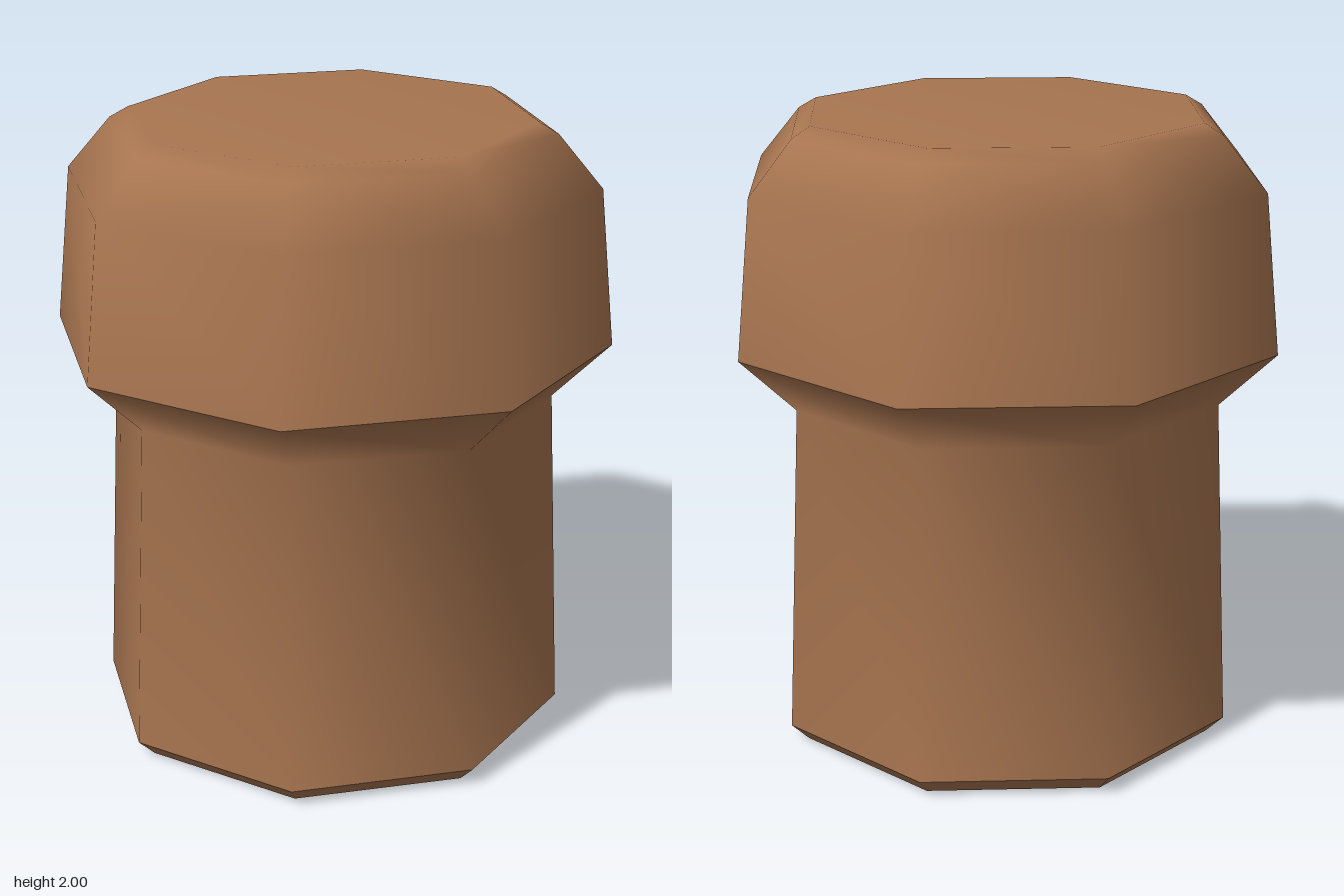
import * as THREE from 'three';
import { mergeVertices } from 'three/addons/utils/BufferGeometryUtils.js';

// Eight-sided turned section, smooth inside, sharp at its open ends
function turned(name, profile, material) {
  let geometry = new THREE.LatheGeometry(profile.map(([r, y]) => new THREE.Vector2(r, y)), 8);
  geometry.deleteAttribute('uv');
  geometry.deleteAttribute('normal');
  geometry = mergeVertices(geometry, 1e-4);
  geometry.computeVertexNormals();
  const mesh = new THREE.Mesh(geometry, material);
  mesh.name = name;
  return mesh;
}

export function createModel() {
  const group = new THREE.Group();
  group.name = 'stopper';
  const cork = new THREE.MeshStandardMaterial({ color: 0xa87550 });
  cork.name = 'cork brown';

  group.add(
    // Flat underside
    turned('base', [[0, 0], [0.7, 0]], cork),
    // Narrow chamfer around the foot
    turned('footChamfer', [[0.7, 0], [0.757, 0.057]], cork),
    // Tapering stem flaring out under the cap
    turned('stem', [[0.757, 0.057], [0.708, 1.12], [0.89, 1.3]], cork),
    // Wide cap with a rounded top edge
    turned('cap', [[0.89, 1.3], [0.84, 1.8], [0.7, 1.965], [0.64, 2], [0, 2]], cork),
  );
  return group;
}
